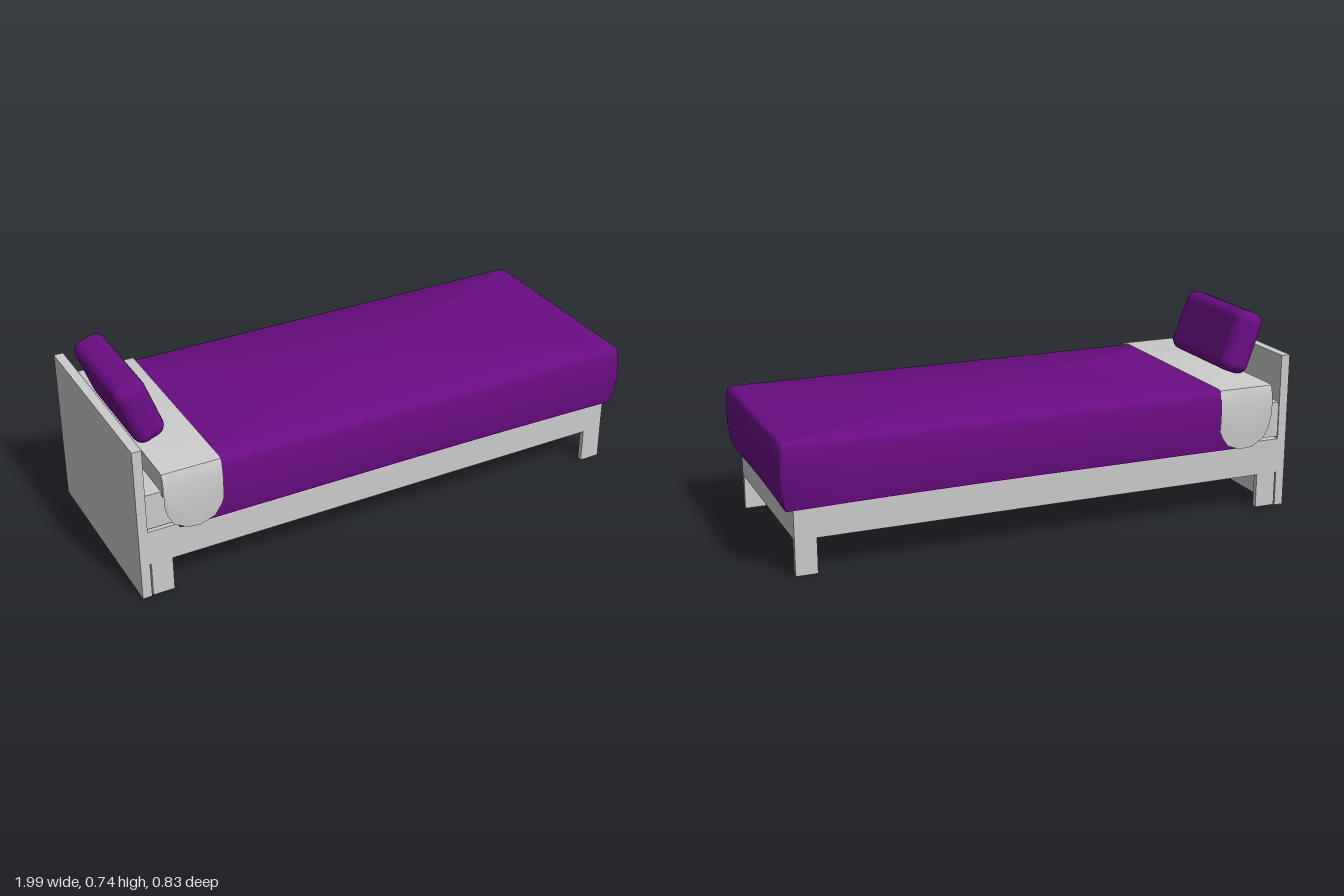
import * as THREE from 'three';
import { toCreasedNormals } from 'three/addons/utils/BufferGeometryUtils.js';
import { RoundedBoxGeometry } from 'three/addons/geometries/RoundedBoxGeometry.js';

const grey = new THREE.MeshStandardMaterial({ color: 0xcccccc });
const greyCloth = new THREE.MeshStandardMaterial({ color: 0xcccccc, side: THREE.DoubleSide });
const purple = new THREE.MeshStandardMaterial({ color: 0x6a0d83, side: THREE.DoubleSide });

// Box given by its minimum and maximum corners
function box(name, [x0, y0, z0], [x1, y1, z1]) {
  const mesh = new THREE.Mesh(new THREE.BoxGeometry(x1 - x0, y1 - y0, z1 - z0), grey);
  mesh.position.set((x0 + x1) / 2, (y0 + y1) / 2, (z0 + z1) / 2);
  mesh.name = name;
  return mesh;
}

// Surface through rows of points, all rows equally long
function skin(name, rows, material, crease) {
  const n = rows[0].length;
  const index = [];
  for (let r = 0; r < rows.length - 1; r++) {
    for (let i = 0; i < n - 1; i++) {
      const a = r * n + i, b = a + n;
      index.push(a, b, a + 1, a + 1, b, b + 1);
    }
  }
  const geo = new THREE.BufferGeometry();
  geo.setAttribute('position', new THREE.Float32BufferAttribute(rows.flat(2), 3));
  geo.setIndex(index);
  const mesh = new THREE.Mesh(toCreasedNormals(geo, crease), material);
  mesh.name = name;
  return mesh;
}

// Rounded rectangle at height y, running around the bed
function ring(y, x0, x1, hz, radius) {
  const pts = [];
  const corners = [[x1, hz, 0], [x0, hz, 1], [x0, -hz, 2], [x1, -hz, 3]];
  for (const [x, z, q] of corners) {
    const cx = x - Math.sign(x) * radius, cz = z - Math.sign(z) * radius;
    for (let k = 0; k <= 4; k++) {
      const a = (q + k / 4) * Math.PI / 2;
      pts.push([cx + radius * Math.cos(a), y, cz + radius * Math.sin(a)]);
    }
    // Subdivide the side that follows so that the hem can sag
    const turn = (q + 1) * Math.PI / 2;
    const [nx, nz] = corners[(q + 1) % 4];
    const ex = nx - Math.sign(nx) * radius + radius * Math.cos(turn);
    const ez = nz - Math.sign(nz) * radius + radius * Math.sin(turn);
    const [sx, , sz] = pts[pts.length - 1];
    for (let k = 1; k < 8; k++) pts.push([sx + (ex - sx) * k / 8, y, sz + (ez - sz) * k / 8]);
  }
  pts.push([...pts[0]]);
  return pts;
}

function createBlanket() {
  // Height, head end, foot end, half width: from under the hem up to the top
  const profile = [
    [0.270, -0.83, 0.940, 0.375], [0.260, -0.85, 0.976, 0.396], [0.285, -0.85, 0.985, 0.402],
    [0.340, -0.85, 0.992, 0.406], [0.400, -0.85, 0.993, 0.407], [0.450, -0.85, 0.990, 0.405],
    [0.475, -0.85, 0.987, 0.403], [0.486, -0.85, 0.982, 0.398], [0.491, -0.84, 0.972, 0.388],
  ];
  const rows = profile.map(([y, x0, x1, hz]) => ring(y, x0, x1, hz, 0.012));
  // The hem hangs lower at the foot corners
  for (const p of rows[1]) p[1] -= 0.011 * Math.max(0, p[0]) ** 2 * (p[2] / 0.4) ** 2;
  rows.push(rows[0].map(() => [0.07, 0.492, 0]));
  const mesh = skin('blanket', rows, purple, 0.7);
  mesh.position.z = -0.003;
  return mesh;
}

function createSheetFold() {
  // Hem outline along the bed: x and height of the lower edge
  const hem = [[-0.91, 0.38], [-0.90, 0.335], [-0.88, 0.295], [-0.83, 0.265], [-0.78, 0.26],
    [-0.725, 0.28], [-0.70, 0.315], [-0.69, 0.34]];
  // Drop below the top (0 to 1) and half width
  const side = [[1, 0.411], [0.75, 0.414], [0.5, 0.415], [0.25, 0.412], [0.08, 0.407]];
  const rows = hem.map(([x, low]) => {
    const half = side.map(([t, z]) => [x, 0.49 - (0.49 - low) * t, z]);
    half.push([x, 0.496, 0.400], [x, 0.499, 0.385]);
    const other = half.map(([px, py, pz]) => [px, py, -pz]).reverse();
    return [...half, ...other];
  });
  const mesh = skin('sheetFold', rows, greyCloth, 0.8);
  mesh.position.z = -0.003;
  return mesh;
}

function createPillow() {
  const geo = new RoundedBoxGeometry(0.12, 0.245, 0.44, 5, 0.04);
  // Puff the short sides a little and keep the lower edge fuller
  const p = geo.attributes.position;
  for (let i = 0; i < p.count; i++) {
    const t = p.getY(i) / 0.1225;
    p.setZ(i, p.getZ(i) * (1.01 - 0.01 * t));
  }
  const mesh = new THREE.Mesh(geo, purple);
  mesh.position.set(-0.889, 0.62, -0.017);
  mesh.rotation.z = 0.35;
  mesh.name = 'pillow';
  return mesh;
}

export function createModel() {
  const bed = new THREE.Group();
  bed.name = 'bed';

  // Frame
  bed.add(box('headboard', [-1, 0, -0.38], [-0.965, 0.6, 0.38]));
  bed.add(box('base', [-0.965, 0.135, -0.38], [0.945, 0.27, 0.38]));
  for (const s of [-1, 1]) {
    for (const x of [-0.96, 0.865]) {
      const z = [s * 0.36, s * 0.38].sort((a, b) => a - b);
      bed.add(box('leg', [x, 0.003, z[0]], [x + 0.08, 0.135, z[1]]));
    }
  }

  // Bedding
  bed.add(box('mattress', [-0.965, 0.279, -0.375], [0.94, 0.415, 0.375]));
  bed.add(box('underSheet', [-0.905, 0.4, -0.395], [-0.84, 0.488, 0.39]));
  bed.add(createBlanket(), createSheetFold(), createPillow());
  return bed;
}
